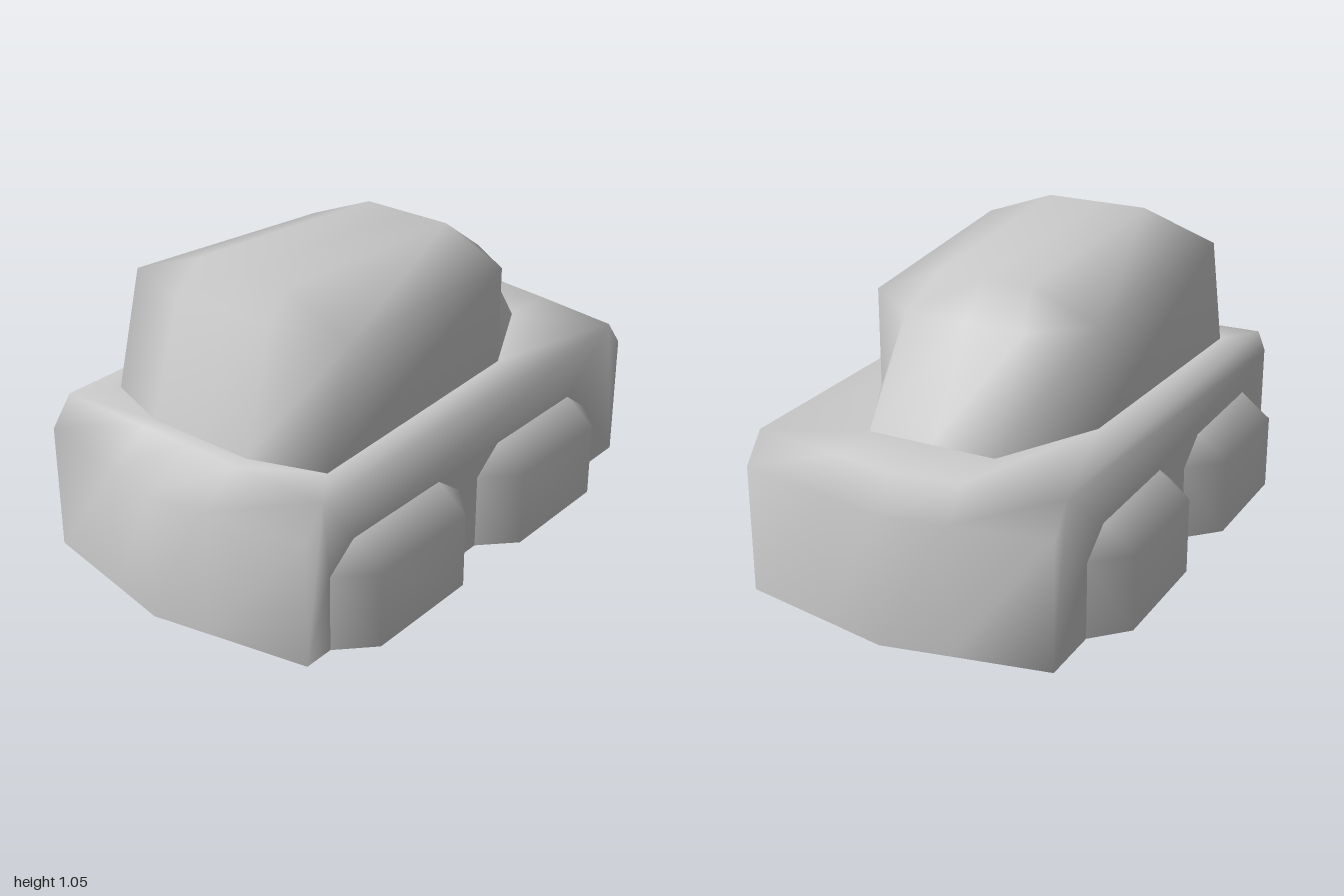
import * as THREE from 'three';
import { mergeGeometries, mergeVertices } from 'three/addons/utils/BufferGeometryUtils.js';

const material = new THREE.MeshStandardMaterial({ color: 0xcccccc, side: THREE.DoubleSide });

// Half a loop (rear centre to front centre, z >= 0) mirrored into a closed one
const ring = (half) => [...half, ...half.slice(1, -1).reverse().map(([x, y, z]) => [x, y, -z])];

// Joins successive cross-sections; skip(row, column) leaves a quad out
function loft(rings, { closed = true, cap = false, skip = () => false } = {}) {
  const n = rings[0].length;
  const index = [];
  for (let r = 0; r < rings.length - 1; r++) {
    for (let i = 0; i < (closed ? n : n - 1); i++) {
      if (skip(r, i)) continue;
      const a = r * n + i, b = r * n + ((i + 1) % n);
      index.push(a, b, b + n, a, b + n, a + n);
    }
  }
  const top = (rings.length - 1) * n;
  if (cap) for (let i = 1; i < n - 1; i++) index.push(top, top + i, top + i + 1);
  const geometry = new THREE.BufferGeometry();
  geometry.setAttribute('position', new THREE.Float32BufferAttribute(rings.flat(2), 3));
  geometry.setIndex(index);
  return geometry;
}

function smooth(geometry) {
  geometry.deleteAttribute('normal');
  geometry.deleteAttribute('uv');
  const welded = mergeVertices(geometry, 1e-4);
  welded.computeVertexNormals();
  return welded;
}

function addMesh(group, name, geometry) {
  const mesh = new THREE.Mesh(smooth(geometry), material);
  mesh.name = name;
  group.add(mesh);
  return mesh;
}

const wheelCentres = [-0.445, 0.33];
const sideZ = 0.555;
const arch = [[-0.335, 0], [-0.335, 0.27], [-0.22, 0.355], [0.22, 0.355], [0.335, 0.27], [0.335, 0]];

// Flat side wall with a notch behind each wheel bulge
function sideWall(side) {
  const outline = [[-0.89, 0]];
  for (const c of wheelCentres) for (const [x, y] of arch) outline.push([c + x, y]);
  outline.push([0.89, 0], [0.89, 0.45], [0.81, 0.55], [-0.81, 0.55], [-0.89, 0.45]);
  const shape = new THREE.Shape(outline.map(([x, y]) => new THREE.Vector2(x * side, y)));
  const wall = new THREE.ShapeGeometry(shape).translate(0, 0, sideZ);
  if (side < 0) wall.rotateY(Math.PI);
  wall.deleteAttribute('normal');
  wall.deleteAttribute('uv');
  return wall;
}

export function createModel() {
  const model = new THREE.Group();
  model.name = 'toyCar';

  // Foot of the cabin, shared by the deck and the cabin
  const cabinFoot = ring([
    [-0.76, 0.55, 0], [-0.76, 0.55, 0.2], [-0.67, 0.55, 0.455],
    [0.3, 0.55, 0.415], [0.66, 0.55, 0.23], [0.66, 0.55, 0],
  ]);

  // Lower body: pointed ends, bevelled hood and tail, open underneath
  const plan = (y) => ring([
    [-1, y, 0], [-0.96, y, 0.2], [-0.89, y, sideZ],
    [0.89, y, sideZ], [0.954, y, 0.23], [1, y, 0],
  ]);
  const deckEdge = ring([
    [-0.81, 0.545, 0], [-0.81, 0.545, 0.2], [-0.81, 0.55, sideZ],
    [0.81, 0.55, sideZ], [0.86, 0.55, 0.23], [0.89, 0.55, 0],
  ]);
  const shell = loft([plan(0), plan(0.45), deckEdge, cabinFoot], {
    skip: (row, i) => row < 2 && (i === 2 || i === 7),
  });
  addMesh(model, 'body', mergeGeometries([shell, sideWall(1), sideWall(-1)]));

  // Cabin: leaning rear, sloping windscreen and chamfered roof
  const shoulder = ring([
    [-0.64, 0.95, 0], [-0.64, 0.95, 0.19], [-0.56, 0.95, 0.455],
    [0.3, 0.9, 0.415], [0.44, 0.89, 0.22], [0.44, 0.89, 0],
  ]);
  const roof = ring([
    [-0.54, 1.05, 0], [-0.54, 1.05, 0.19], [-0.54, 1.05, 0.19],
    [0.31, 1, 0.17], [0.31, 1, 0.17], [0.31, 1, 0],
  ]);
  addMesh(model, 'cabin', loft([cabinFoot, shoulder, roof], { cap: true }));

  // Wheel bulges, chamfered towards a flat outer face
  const inner = arch.map(([x, y]) => [x, y, 0]).reverse();
  const outer = inner.map(([x, y]) => [Math.sign(x) * 0.22, Math.min(y, 0.27), 0.11]);
  for (const x of wheelCentres) {
    for (const side of [1, -1]) {
      const name = (x > 0 ? 'front' : 'rear') + 'Wheel' + (side > 0 ? 'A' : 'B');
      const wheel = addMesh(model, name, loft([inner, outer], { closed: false, cap: true }));
      wheel.position.set(x, 0, side * sideZ);
      if (side < 0) wheel.rotation.y = Math.PI;
    }
  }
  return model;
}
